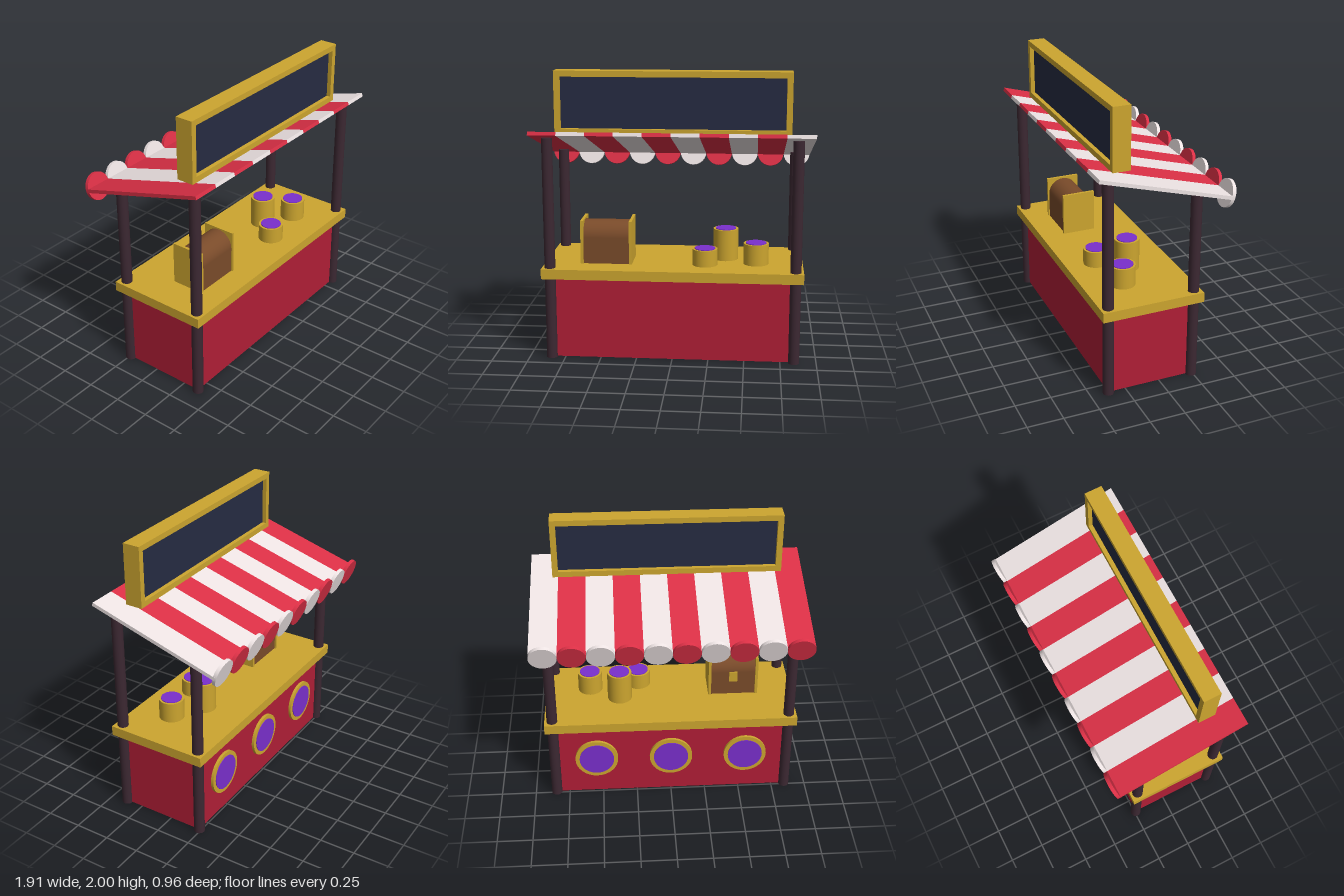
import * as THREE from 'three';

const mat = (color) => new THREE.MeshStandardMaterial({ color });

export function createModel() {
  const stall = new THREE.Group();
  stall.name = 'marketStall';
  const red = mat(0xb01e36), brightRed = mat(0xdc3046), white = mat(0xeee4e4);
  const gold = mat(0xcca52f), wood = mat(0x3c2832), purple = mat(0x7a2fcc);
  const brown = mat(0x7a4b2a), navy = mat(0x262b42);

  const add = (parent, name, geometry, material, x = 0, y = 0, z = 0) => {
    const mesh = new THREE.Mesh(geometry, material);
    mesh.name = name;
    mesh.position.set(x, y, z);
    parent.add(mesh);
    return mesh;
  };
  // box given by its lower and upper limits on each axis
  const box = (parent, name, material, x0, x1, y0, y1, z0, z1) =>
    add(parent, name, new THREE.BoxGeometry(x1 - x0, y1 - y0, z1 - z0), material,
      (x0 + x1) / 2, (y0 + y1) / 2, (z0 + z1) / 2);
  const cylinder = (r, h, sides = 24) => new THREE.CylinderGeometry(r, r, h, sides);

  // counter
  box(stall, 'counterBody', red, -0.845, 0.845, 0.005, 0.58, -0.24, 0.375);
  box(stall, 'counterTop', gold, -0.9, 0.9, 0.58, 0.65, -0.295, 0.43);

  // corner posts, taller on the sign side
  for (const x of [-0.845, 0.845]) {
    for (const [z, h] of [[0.375, 1.555], [-0.24, 1.375]]) {
      add(stall, 'post', cylinder(0.038, h, 16), wood, x, h / 2, z);
    }
  }

  // round medallions on the -z side of the counter
  for (const x of [-0.54, 0, 0.54]) {
    add(stall, 'medallionRing', cylinder(0.155, 0.03, 32), gold, x, 0.31, -0.245).rotation.x = Math.PI / 2;
    add(stall, 'medallionFace', cylinder(0.125, 0.03, 32), purple, x, 0.31, -0.25).rotation.x = Math.PI / 2;
  }

  // sloping striped awning with a round flap at the end of each stripe
  const awning = new THREE.Group();
  awning.name = 'awning';
  awning.position.set(0, 1.465, 0.015);
  awning.rotation.x = -0.28;
  stall.add(awning);
  const stripes = 10, w = 0.191;
  for (let i = 0; i < stripes; i++) {
    const x = (i - (stripes - 1) / 2) * w;
    const color = i % 2 ? white : brightRed;
    add(awning, 'awningStripe', new THREE.BoxGeometry(w, 0.025, 0.96), color, x, 0, 0);
    add(awning, 'awningFlap', cylinder(w / 2, 0.025), color, x, 0, -0.48).rotation.x = Math.PI / 2;
  }

  // sign: frame of four bars around a recessed panel
  const sign = new THREE.Group();
  sign.name = 'sign';
  stall.add(sign);
  for (const [y0, y1] of [[1.57, 1.61], [1.96, 2]]) {
    box(sign, 'signRail', gold, -0.8, 0.8, y0, y1, 0.202, 0.325);
  }
  for (const x of [-0.8, 0.76]) {
    box(sign, 'signStile', gold, x, x + 0.04, 1.61, 1.96, 0.202, 0.325);
  }
  box(sign, 'signPanel', navy, -0.76, 0.76, 1.61, 1.96, 0.232, 0.295);

  // chest with a rounded lid between two end boards
  const chest = new THREE.Group();
  chest.name = 'chest';
  stall.add(chest);
  for (const x of [-0.65, -0.31]) {
    box(chest, 'chestEnd', gold, x, x + 0.02, 0.65, 0.955, 0.02, 0.26);
  }
  box(chest, 'chestBody', brown, -0.63, -0.31, 0.65, 0.835, 0.03, 0.25);
  const lid = add(chest, 'chestLid',
    new THREE.CylinderGeometry(0.11, 0.11, 0.32, 24, 1, false, 0, Math.PI),
    brown, -0.47, 0.835, 0.14);
  lid.rotation.z = Math.PI / 2; // half round facing up
  box(chest, 'chestLatch', gold, -0.5, -0.44, 0.76, 0.84, 0.02, 0.04);

  // drums with coloured tops
  for (const [x, z, h] of [[0.218, 0.21, 0.115], [0.358, 0.035, 0.22], [0.573, 0.157, 0.147]]) {
    add(stall, 'drum', cylinder(0.088, h), gold, x, 0.65 + h / 2, z);
    add(stall, 'drumTop', cylinder(0.072, 0.01), purple, x, 0.65 + h, z);
  }
  return stall;
}
